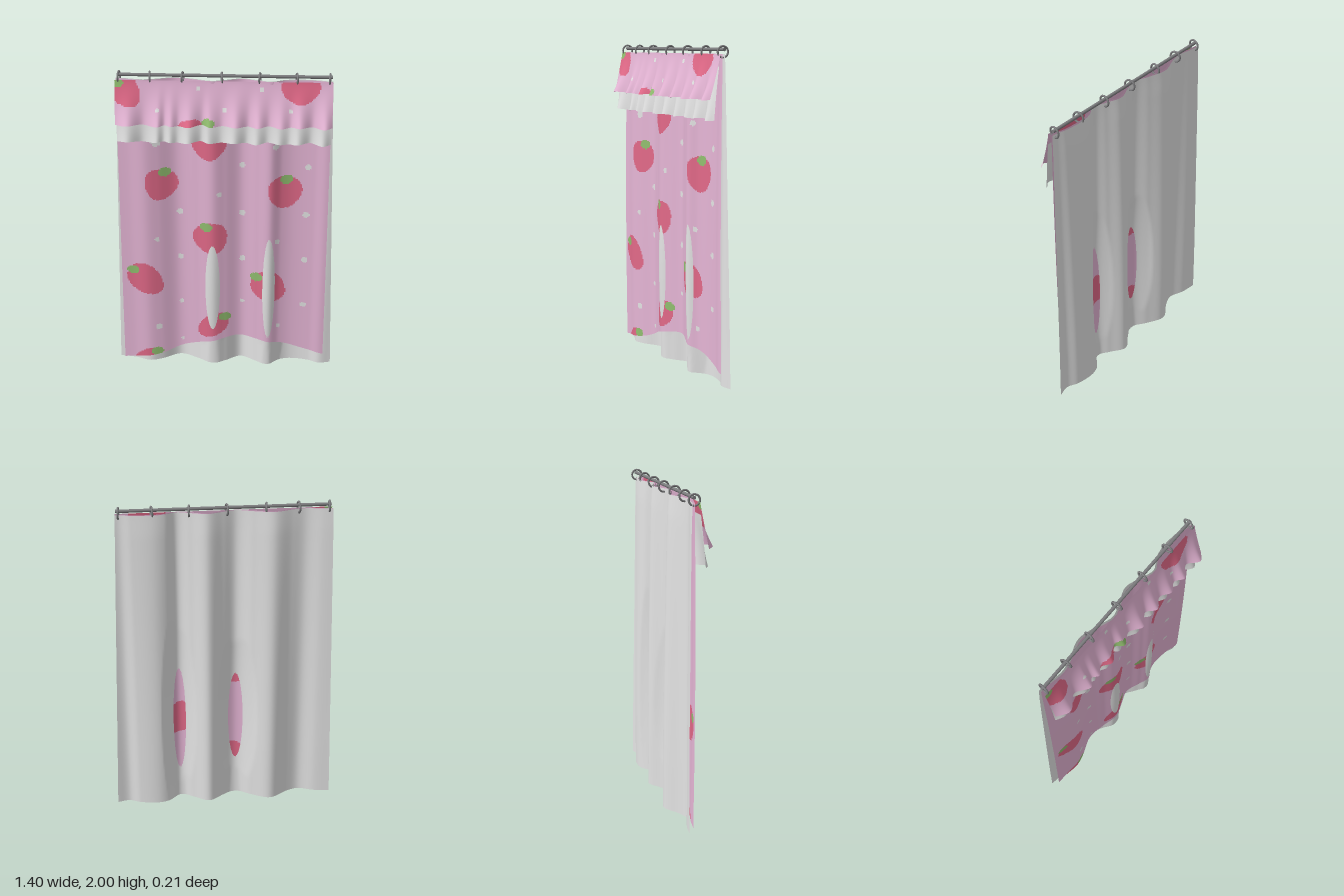
import * as THREE from 'three';

const mat = (name, color, side = THREE.DoubleSide) => {
  const m = new THREE.MeshStandardMaterial({ color, side });
  m.name = name;
  return m;
};
const lerp = THREE.MathUtils.lerp;

// Smooth curve through [x, value] points
function curve(points) {
  return (x) => {
    if (x <= points[0][0]) return points[0][1];
    for (let i = 1; i < points.length; i++) {
      const [x0, a] = points[i - 1], [x1, b] = points[i];
      if (x > x1) continue;
      const p = points[Math.max(i - 2, 0)], q = points[Math.min(i + 1, points.length - 1)];
      const t = (x - x0) / (x1 - x0);
      const m0 = ((b - p[1]) / (x1 - p[0])) * (x1 - x0), m1 = ((q[1] - a) / (q[0] - x0)) * (x1 - x0);
      const t2 = t * t, t3 = t2 * t;
      return (2 * t3 - 3 * t2 + 1) * a + (t3 - 2 * t2 + t) * m0 + (3 * t2 - 2 * t3) * b + (t3 - t2) * m1;
    }
    return points[points.length - 1][1];
  };
}

// Cloth sheet: at(u, v) gives a point; pick(x, y) gives the material index of a cell
function sheet(name, cols, rows, at, materials, pick = () => 0) {
  const pos = [];
  for (let j = 0; j <= rows; j++)
    for (let i = 0; i <= cols; i++) pos.push(...at(i / cols, j / rows));
  const buckets = materials.map(() => []);
  const w = cols + 1;
  for (let j = 0; j < rows; j++) {
    for (let i = 0; i < cols; i++) {
      const a = j * w + i, b = a + 1, c = a + w, d = c + 1;
      const x = (pos[a * 3] + pos[d * 3]) / 2, y = (pos[a * 3 + 1] + pos[d * 3 + 1]) / 2;
      buckets[pick(x, y)].push(a, b, d, a, d, c);
    }
  }
  const geo = new THREE.BufferGeometry();
  geo.setAttribute('position', new THREE.Float32BufferAttribute(pos, 3));
  geo.setIndex(buckets.flat());
  let start = 0;
  buckets.forEach((b, k) => {
    if (b.length) geo.addGroup(start, b.length, k);
    start += b.length;
  });
  geo.computeVertexNormals();
  const mesh = new THREE.Mesh(geo, materials);
  mesh.name = name;
  return mesh;
}

// Printed fabric: 0 ground, 1 berry, 2 leaf, 3 dot
// Berries are [centre x, y, half length, half width, leaf x, y]
const printed = (berries, dots) => (x, y) => {
  for (const [, , , , lx, ly] of berries)
    if (((x - lx) / 0.04) ** 2 + ((y - ly) / 0.03) ** 2 < 1) return 2;
  for (const [cx, cy, len, wid, lx, ly] of berries) {
    const d = Math.hypot(lx - cx, ly - cy), ux = (lx - cx) / d, uy = (ly - cy) / d;
    const a = ((x - cx) * ux + (y - cy) * uy) / len;
    const b = ((y - cy) * ux - (x - cx) * uy) / (wid * (1 + 0.2 * a));
    if (a * a + b * b < 1) return 1;
  }
  for (const [dx, dy, r] of dots) if (Math.hypot(x - dx, y - dy) < r) return 3;
  return 0;
};

const panelPrint = printed([
  [-0.4, 1.27, 0.105, 0.102, -0.375, 1.355],
  [0.37, 1.235, 0.108, 0.104, 0.38, 1.32],
  [-0.1, 1.545, 0.1, 0.108, -0.1, 1.65],
  [-0.09, 0.915, 0.108, 0.108, -0.12, 0.995],
  [-0.51, 0.612, 0.13, 0.097, -0.59, 0.68],
  [0.28, 0.575, 0.12, 0.1, 0.2, 0.645],
  [-0.08, 0.285, 0.115, 0.075, 0, 0.35],
  [-0.52, 0.045, 0.085, 0.04, -0.45, 0.075],
], [
  [-0.425, 1.55, 0.026], [0.31, 1.54, 0.018], [0.105, 1.405, 0.019], [0.51, 1.4, 0.019],
  [-0.035, 1.22, 0.016], [-0.285, 1.085, 0.02], [0.105, 1.085, 0.02], [0.505, 1.08, 0.021],
  [-0.43, 0.9, 0.016], [0.33, 0.9, 0.016], [-0.285, 0.765, 0.019], [0.11, 0.765, 0.019],
  [0.505, 0.765, 0.021], [-0.285, 0.44, 0.014], [0.11, 0.455, 0.014], [0.505, 0.44, 0.019],
  [-0.435, 0.26, 0.022], [0.345, 0.285, 0.015], [-0.28, 0.155, 0.012],
]);
const valancePrint = printed([
  [-0.595, 1.885, 0.105, 0.085, -0.645, 1.935],
  [0.45, 1.905, 0.085, 0.115, 0.45, 2.0],
  [-0.21, 1.695, 0.07, 0.035, -0.1, 1.705],
], [
  [-0.16, 1.905, 0.014], [0.22, 1.905, 0.014], [-0.4, 1.78, 0.012], [0, 1.785, 0.014], [0.39, 1.78, 0.012],
]);

const TOP = 1.95;
const hem = curve([[-0.67, 0.015], [-0.4, 0.06], [-0.2, 0.135], [0, 0.188], [0.1, 0.195], [0.3, 0.168], [0.5, 0.112], [0.645, 0.08]]);
const folds = curve([
  [-0.7, -0.06], [-0.6, -0.045], [-0.5, -0.01], [-0.42, -0.035], [-0.3, -0.103], [-0.18, -0.05],
  [-0.08, 0.01], [0, -0.03], [0.1, -0.092], [0.2, -0.035], [0.28, 0.01], [0.35, -0.055],
  [0.43, -0.08], [0.55, -0.062], [0.62, -0.03], [0.7, -0.045],
]);
const foldStrength = curve([[0, 1], [0.4, 0.98], [1.2, 0.82], [1.8, 0.66], [TOP, 0.55]]);
const pleat = curve([
  [-0.66, -0.8], [-0.58, 1], [-0.49, -1], [-0.4, 1], [-0.36, -0.3], [-0.32, 0.7], [-0.275, -0.4],
  [-0.21, 0.95], [-0.135, -1], [-0.09, 0.5], [-0.015, -0.8], [0.065, 1], [0.14, -0.9], [0.2, 0.8],
  [0.265, -0.7], [0.335, 0.7], [0.395, -0.5], [0.45, 0.9], [0.525, -1], [0.595, 1], [0.645, -0.4],
]);

// The printed panel follows the folds of the lining more softly
const panelZ = (x, y) =>
  folds(x) * 0.52 + 0.003 + 0.008 * Math.sin((Math.PI * y) / TOP);

// Long lens areas where the lining comes through the panel
const lenses = [[-0.08, 0.565, 0.047, 0.305], [0.28, 0.565, 0.04, 0.36]];
const liningZ = (x, y) => {
  const p = panelZ(x, y);
  let z = Math.min(folds(x) * foldStrength(y) - 0.008 * (y / TOP), p - 0.004);
  for (const [cx, cy, rx, ry] of lenses)
    z = Math.max(z, p + 0.006 * (1 - ((x - cx) / rx) ** 2 - ((y - cy) / ry) ** 2));
  return z;
};

export function createModel() {
  const pink = mat('pink fabric', 0xe6b6d6);
  const red = mat('berry red', 0xe36a89);
  const green = mat('leaf green', 0x92bf70);
  const white = mat('white fabric', 0xe4e4e4);
  const metal = mat('grey metal', 0x7c7c7e, THREE.FrontSide);
  const print = [pink, red, green, white];
  const g = new THREE.Group();
  g.name = 'curtain';

  // Printed front panel with an arched hem
  g.add(sheet('frontPanel', 165, 240, (u, v) => {
    const x0 = lerp(-0.67, 0.645, u), y = lerp(hem(x0), TOP, v);
    const x = lerp(x0, lerp(-0.655, 0.635, u), v);
    return [x, y, panelZ(x, y)];
  }, print, panelPrint));

  // Plain lining behind, wider towards the floor
  g.add(sheet('lining', 140, 90, (u, v) => {
    const x = lerp(lerp(-0.703, -0.657, v), lerp(0.698, 0.64, v), u), y = TOP * v;
    return [x, y, liningZ(x, y)];
  }, [white]));

  // Pleated valance and the ruffle under it
  g.add(sheet('valance', 165, 32, (u, v) => {
    const x = lerp(-0.658, 0.64, u), t = 1 - v;
    const y = lerp(1.69, TOP, v) + 0.003 * t * Math.sin(x * 31);
    return [x, y, 0.006 + 0.072 * t ** 1.25 + 0.026 * t * t * pleat(x)];
  }, print, valancePrint));
  g.add(sheet('ruffle', 130, 14, (u, v) => {
    const x = lerp(-0.652, 0.638, u), t = 1 - v;
    const y = lerp(1.577, 1.88, v) + 0.004 * t * Math.sin(x * 29);
    return [x, y, 0.012 + 0.038 * t + 0.022 * t * t * pleat(x + 0.01)];
  }, [white]));

  // Rod and hanging rings
  const rod = new THREE.Mesh(new THREE.CylinderGeometry(0.01, 0.01, 1.28, 20), metal);
  rod.name = 'rod';
  rod.rotation.z = Math.PI / 2;
  rod.position.set(-0.005, 1.975, -0.025);
  g.add(rod);
  const ringGeo = new THREE.TorusGeometry(0.032, 0.006, 10, 28);
  [-0.635, -0.45, -0.255, -0.02, 0.205, 0.425, 0.62].forEach((x, i) => {
    const ring = new THREE.Mesh(ringGeo, metal);
    ring.name = 'ring';
    ring.rotation.y = Math.PI / 2 + (i % 2 ? 0.12 : -0.1);
    ring.position.set(x, 1.962, -0.022);
    g.add(ring);
  });
  return g;
}
